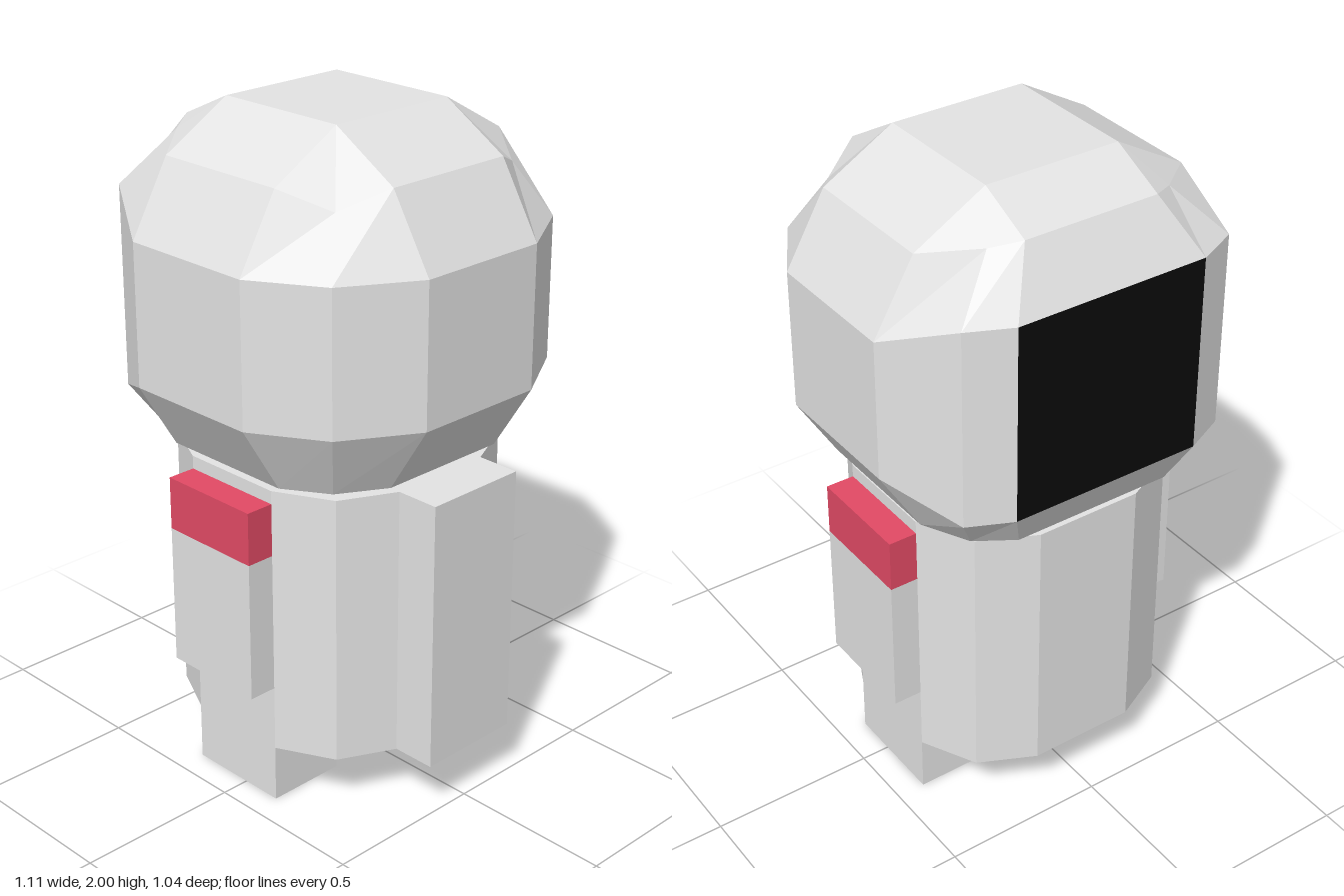
import * as THREE from 'three';

export function createModel() {
  const suit = new THREE.MeshStandardMaterial({ color: 0xe3e3e3 });
  const red = new THREE.MeshStandardMaterial({ color: 0xe24a65 });
  const black = new THREE.MeshStandardMaterial({ color: 0x0a0a0a });
  suit.name = 'suit grey';
  red.name = 'shoulder red';
  black.name = 'visor black';

  const model = new THREE.Group();
  model.name = 'astronaut';

  const addMesh = (name, geometry, material, parent = model) => {
    const mesh = new THREE.Mesh(geometry, material);
    mesh.name = name;
    parent.add(mesh);
    return mesh;
  };

  // Box given by its extents
  const addBox = (name, material, [x0, x1], [y0, y1], [z0, z1], parent) => {
    const geometry = new THREE.BoxGeometry(x1 - x0, y1 - y0, z1 - z0);
    geometry.translate((x0 + x1) / 2, (y0 + y1) / 2, (z0 + z1) / 2);
    return addMesh(name, geometry, material, parent);
  };

  // Faceted loft through half rings (x > 0, from +z round to -z), mirrored in x.
  // Faces picked by isVisor go into material group 1.
  const loft = (halfRings, isVisor = () => false) => {
    const rings = halfRings.map((half) => {
      const pts = half.map((p) => new THREE.Vector3(...p));
      const mirrored = half.map(([x, y, z]) => new THREE.Vector3(-x, y, z)).reverse();
      return [...pts, ...mirrored];
    });
    const n = rings[0].length;
    const faces = [[], []];
    const tri = (list, a, b, c) => {
      const area = b.clone().sub(a).cross(c.clone().sub(a)).length();
      if (area > 1e-6) for (const p of [a, b, c]) list.push(p.x, p.y, p.z);
    };
    for (let i = 0; i < rings.length - 1; i++) {
      for (let j = 0; j < n; j++) {
        const k = (j + 1) % n;
        const list = faces[isVisor(i, j) ? 1 : 0];
        tri(list, rings[i][j], rings[i][k], rings[i + 1][k]);
        tri(list, rings[i][j], rings[i + 1][k], rings[i + 1][j]);
      }
    }
    const bottom = rings[0], top = rings[rings.length - 1];
    for (let j = 1; j < n - 1; j++) {
      tri(faces[0], bottom[0], bottom[j + 1], bottom[j]);
      tri(faces[0], top[0], top[j], top[j + 1]);
    }
    const geometry = new THREE.BufferGeometry();
    geometry.setAttribute('position', new THREE.Float32BufferAttribute([...faces[0], ...faces[1]], 3));
    geometry.addGroup(0, faces[0].length / 3, 0);
    geometry.addGroup(faces[0].length / 3, faces[1].length / 3, 1);
    geometry.computeVertexNormals();
    return geometry;
  };

  // Helmet: chamfered block stretched into a flat visor at -z
  const wall = (y, visorY) => [
    [0.21, y, 0.52], [0.43, y, 0.39], [0.555, y, 0.18],
    [0.555, y, -0.25], [0.43, visorY, -0.46], [0.30, visorY, -0.52],
  ];
  const helmet = loft([
    [[0.21, 1.03, 0.39], [0.35, 1.03, 0.31], [0.43, 1.03, 0.18],
      [0.43, 1.03, -0.25], [0.36, 1.03, -0.39], [0.25, 1.03, -0.46]],
    wall(1.235, 1.15),
    wall(1.66, 1.75),
    [[0.21, 1.875, 0.39], [0.34, 1.82, 0.31], [0.43, 1.875, 0.18],
      [0.43, 1.875, -0.25], [0.29, 1.90, -0.37], [0.21, 1.92, -0.42]],
    [[0.21, 2, 0.18], [0.21, 2, 0.18], [0.21, 2, 0.18],
      [0.21, 2, -0.25], [0.21, 2, -0.25], [0.21, 2, -0.25]],
  ], (ring, side) => ring === 1 && side === 5);
  addMesh('helmet', helmet, [suit, black]);

  // Body: twelve-sided prism
  const section = (y) => [
    [0.165, y, 0.38], [0.33, y, 0.30], [0.413, y, 0.13],
    [0.413, y, -0.2], [0.33, y, -0.365], [0.165, y, -0.445],
  ];
  addMesh('body', loft([section(0.175), section(1)]), [suit, black]);

  addBox('backpack', suit, [-0.165, 0.165], [0.175, 1], [0.37, 0.515]);

  // Arms with red shoulders, and legs
  const depth = [-0.2, 0.13];
  for (const [side, s] of [['left', 1], ['right', -1]]) {
    const span = (a, b) => (s > 0 ? [a, b] : [-b, -a]);
    const arm = new THREE.Group();
    arm.name = side + 'Arm';
    model.add(arm);
    addBox(side + 'Sleeve', suit, span(0.413, 0.5), [0.375, 0.8], depth, arm);
    addBox(side + 'Shoulder', red, span(0.413, 0.5), [0.8, 0.96], depth, arm);
    addBox(side + 'Leg', suit, span(0.165, 0.413), [0, 0.175], depth);
  }

  return model;
}
